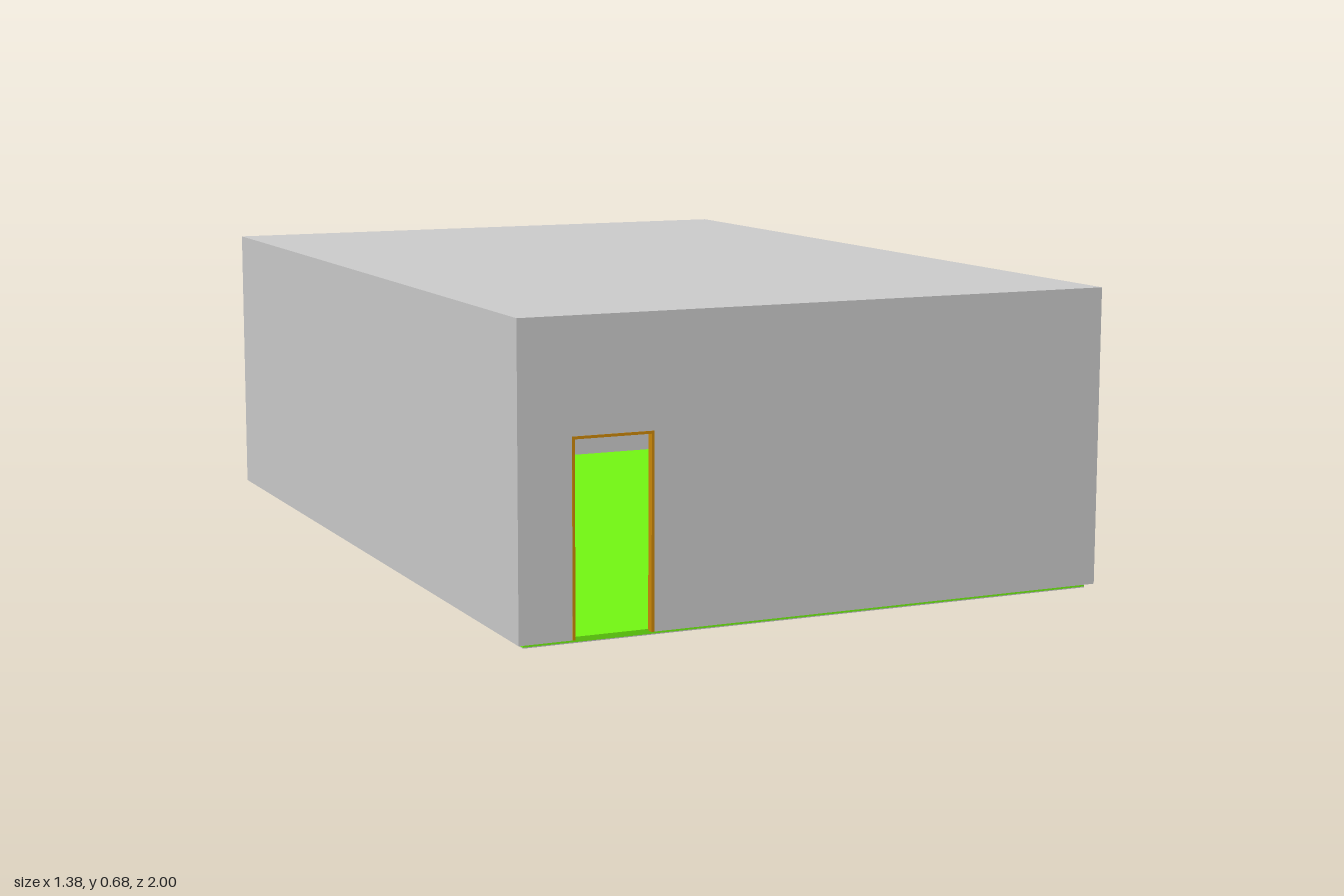
import * as THREE from 'three';

export function createModel() {
  const model = new THREE.Group();
  const grey = new THREE.MeshStandardMaterial({ color: 0xcccccc });
  const green = new THREE.MeshStandardMaterial({ color: 0x73f712 });
  const orange = new THREE.MeshStandardMaterial({ color: 0xcc8808 });

  const W = 0.69, D = 1, BASE = 0.01, TOP = 0.675, T = 0.015; // half width, half depth, heights, wall thickness
  const door = { left: -0.572, right: -0.39, top: 0.43 };

  const add = (name, geometry, material, x, y, z) => {
    const mesh = new THREE.Mesh(geometry, material);
    mesh.name = name;
    mesh.position.set(x, y, z);
    model.add(mesh);
  };
  const addBox = (name, material, x0, x1, y0, y1, z0, z1) =>
    add(name, new THREE.BoxGeometry(x1 - x0, y1 - y0, z1 - z0), material,
      (x0 + x1) / 2, (y0 + y1) / 2, (z0 + z1) / 2);

  // Front wall, notched by the doorway down to its lower edge
  const front = new THREE.Shape([
    [-W, BASE], [door.left, BASE], [door.left, door.top], [door.right, door.top],
    [door.right, BASE], [W, BASE], [W, TOP], [-W, TOP],
  ].map(([x, y]) => new THREE.Vector2(x, y)));
  add('frontWall', new THREE.ExtrudeGeometry(front, { depth: T, bevelEnabled: false }), grey, 0, 0, D - T);

  // Back and side walls, and the flat roof fitted between them
  addBox('backWall', grey, -W, W, BASE, TOP, -D, -D + T);
  addBox('rightWall', grey, -W, -W + T, BASE, TOP, -D + T, D - T);
  addBox('leftWall', grey, W - T, W, BASE, TOP, -D + T, D - T);
  addBox('roof', grey, -W + T, W - T, TOP - T, TOP, -D + T, D - T);

  // Green floor on a thin grey underside
  addBox('floorUnderside', grey, -W + T, W - T, 0, 0.002, -D + T, D - T);
  addBox('floor', green, -W + T, W - T, 0.002, 0.013, -D + T, D - T);

  // Slim door frame lining the opening
  const F = 0.006, z0 = D - T - 0.001, z1 = D + 0.001;
  addBox('doorJambRight', orange, door.left, door.left + F, BASE, door.top, z0, z1);
  addBox('doorJambLeft', orange, door.right - F, door.right, BASE, door.top, z0, z1);
  addBox('doorLintel', orange, door.left + F, door.right - F, door.top - F, door.top, z0, z1);

  return model;
}
